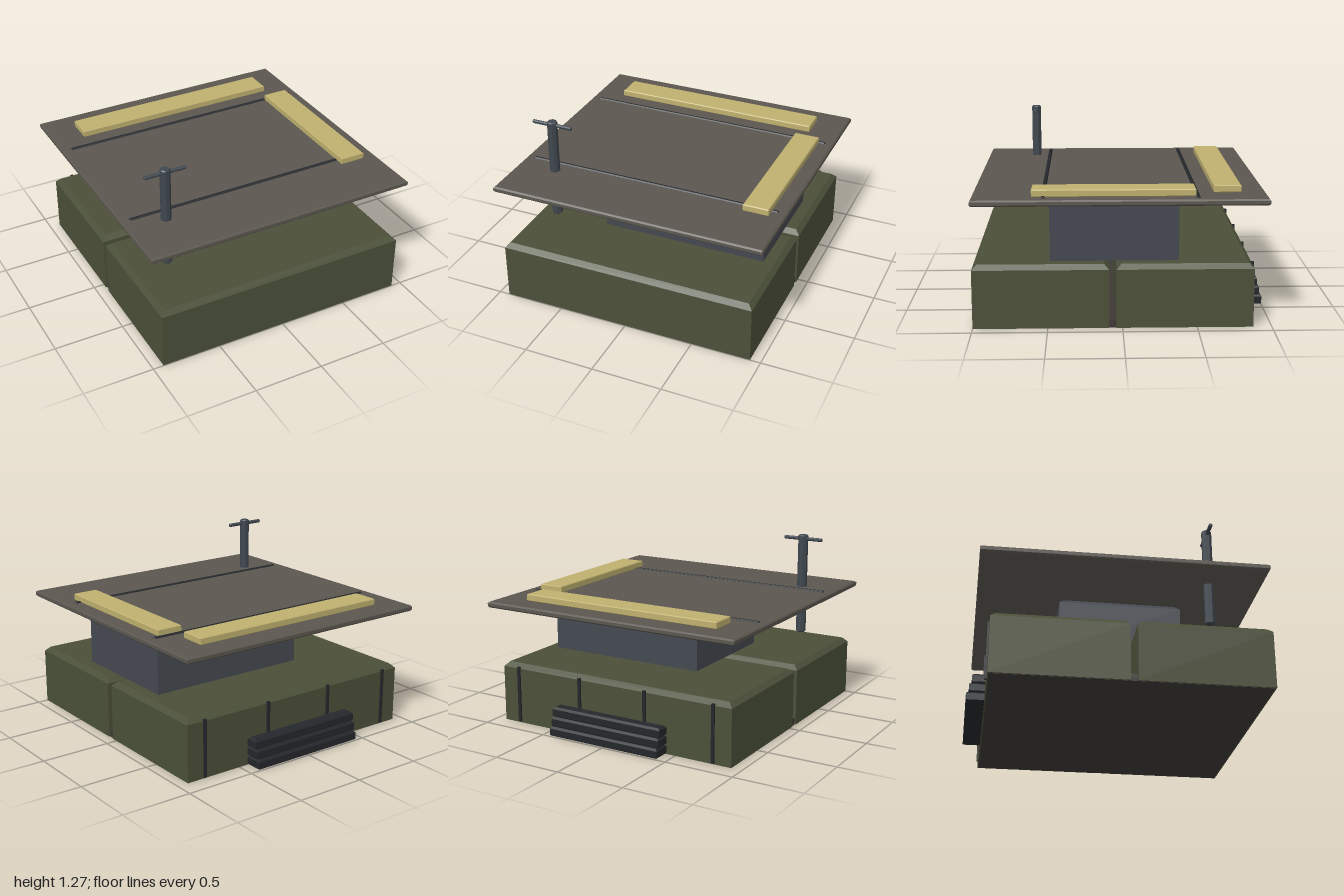
import * as THREE from 'three';

const mat = (color) => new THREE.MeshStandardMaterial({ color, flatShading: true });

const olive = mat(0x4b5039);
const slate = mat(0x444850);
const steel = mat(0x3f474f);
const plateGrey = mat(0x5b5750);
const baseBrown = mat(0x3d3935);
const sand = mat(0xbfb06f);
const black = mat(0x24272b);

// Block given by its min/max corners, with chamfered top and bottom rims
function block(name, material, [x0, y0, z0], [x1, y1, z1], top = 0, bottom = 0) {
  const w = x1 - x0, h = y1 - y0, d = z1 - z0;
  const rows = 1 + (top > 0) + (bottom > 0);
  let geo = new THREE.BoxGeometry(w, h, d, 1, rows, 1);
  const p = geo.attributes.position;
  for (let i = 0; i < p.count; i++) {
    const row = Math.round((p.getY(i) / h + 0.5) * rows);
    const inset = row === rows ? top : row === 0 ? bottom : 0;
    let y = p.getY(i);
    if (row > 0 && row < rows) y = bottom > 0 && row === 1 ? -h / 2 + bottom : h / 2 - top;
    p.setXYZ(i, p.getX(i) - Math.sign(p.getX(i)) * inset, y, p.getZ(i) - Math.sign(p.getZ(i)) * inset);
  }
  geo = geo.toNonIndexed();
  geo.computeVertexNormals();
  const mesh = new THREE.Mesh(geo, material);
  mesh.name = name;
  mesh.position.set((x0 + x1) / 2, (y0 + y1) / 2, (z0 + z1) / 2);
  return mesh;
}

// Eight-sided bar with slightly bevelled ends, centred on its length along y
function bar(name, material, radius, length, bevel) {
  const h = length / 2;
  const profile = [[0, -h], [radius - bevel, -h], [radius, -h + bevel], [radius, h - bevel], [radius - bevel, h], [0, h]];
  const geo = new THREE.LatheGeometry(profile.map(([x, y]) => new THREE.Vector2(x, y)), 8, Math.PI / 8);
  const mesh = new THREE.Mesh(geo, material);
  mesh.name = name;
  return mesh;
}

export function createModel() {
  const model = new THREE.Group();
  model.name = 'workTable';

  // Two base cabinets joined by a floor plate
  model.add(
    block('basePlate', baseBrown, [-0.915, 0, -0.865], [0.915, 0.05, 0.99]),
    block('frontBase', olive, [-0.925, 0.002, 0.09], [0.925, 0.437, 1.0], 0.033),
    block('rearBase', olive, [-0.925, 0.002, -0.875], [0.925, 0.437, 0.04], 0.033)
  );

  // Pedestal and table top
  model.add(
    block('pedestal', slate, [-0.38, 0.437, -0.38], [0.815, 0.846, 0.485], 0.035),
    block('tableTop', plateGrey, [-0.98, 0.845, -0.962], [0.98, 0.887, 0.995], 0.01, 0.01)
  );

  // Dark rails let into the table top
  for (const z of [-0.497, 0.523]) {
    const rail = bar('tableRail', black, 0.015, 1.84, 0.005);
    rail.rotation.z = Math.PI / 2;
    rail.position.set(0, 0.882, z);
    model.add(rail);
  }

  // Flat guide bars lying on the table
  model.add(
    block('rearGuide', sand, [-0.765, 0.886, -0.797], [0.76, 0.936, -0.612], 0.006, 0.006),
    block('sideGuide', sand, [0.693, 0.886, -0.485], [0.875, 0.936, 0.6], 0.006, 0.006)
  );

  // Upright screw with cross handle
  const screw = new THREE.Group();
  screw.name = 'clampScrew';
  const post = bar('screwPost', steel, 0.036, 0.735, 0.008);
  post.position.y = 0.9075;
  const handle = bar('screwHandle', steel, 0.0135, 0.3, 0.005);
  handle.rotation.z = Math.PI / 2;
  handle.position.y = 1.245;
  screw.add(post, handle);
  screw.position.set(-0.7, 0, 0.625);
  model.add(screw);

  // Vertical straps on the back
  for (const x of [-0.79, -0.265, 0.265, 0.79]) {
    model.add(block('backStrap', black, [x - 0.011, 0.01, -0.887], [x + 0.011, 0.417, -0.87]));
  }

  // Stepped stack on the back
  [-1.0, -0.982, -0.965].forEach((z, i) => {
    const y = 0.006 + i * 0.066;
    model.add(block('backStep', black, [-0.435, y, z], [0.435, y + 0.066, -0.875], 0.014, 0.006));
  });

  return model;
}
